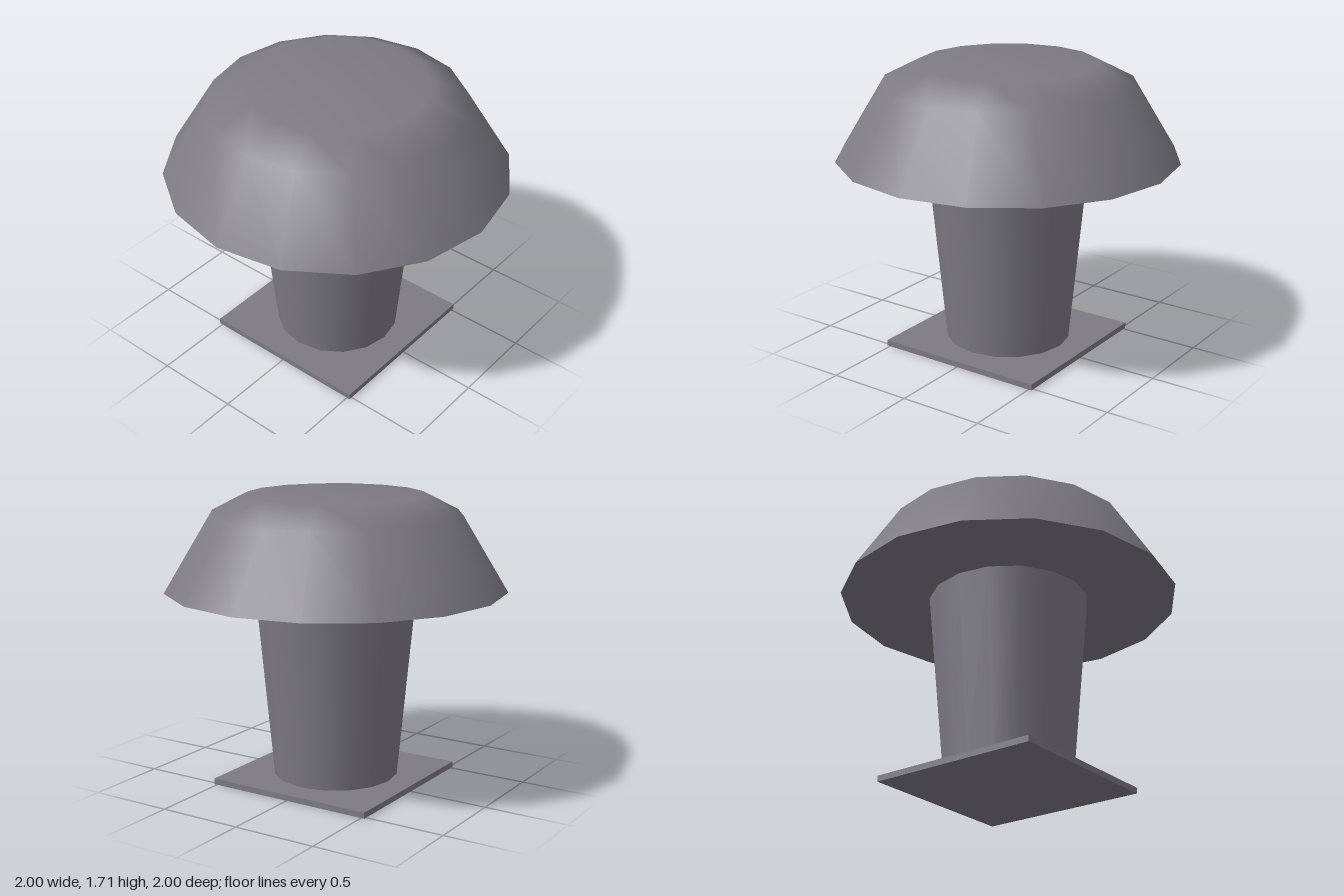
import * as THREE from 'three';

const SIDES = 16;

export function createModel() {
  const model = new THREE.Group();
  const grey = new THREE.MeshStandardMaterial({ color: 0x7d7a84 });
  grey.name = 'warm grey';

  const add = (name, geometry, y = 0) => {
    const mesh = new THREE.Mesh(geometry, grey);
    mesh.name = name;
    mesh.position.y = y;
    model.add(mesh);
    return mesh;
  };

  // Thin square base plate
  add('basePlate', new THREE.BoxGeometry(1.04, 0.035, 1.04), 0.0175);

  // Stem, widening upwards
  add('stem', new THREE.CylinderGeometry(0.475, 0.37, 1.125, SIDES, 1, true), 0.5975);

  // Domed cap, smooth over its rings and flat crown
  const profile = [[1, 1.16], [0.735, 1.595], [0.52, 1.705], [0, 1.705]]
    .map(([r, y]) => new THREE.Vector2(r, y));
  add('cap', new THREE.LatheGeometry(profile, SIDES));

  // Flat underside of the cap
  const underside = new THREE.CircleGeometry(1, SIDES).rotateX(Math.PI / 2);
  add('capUnderside', underside, 1.16);

  return model;
}
